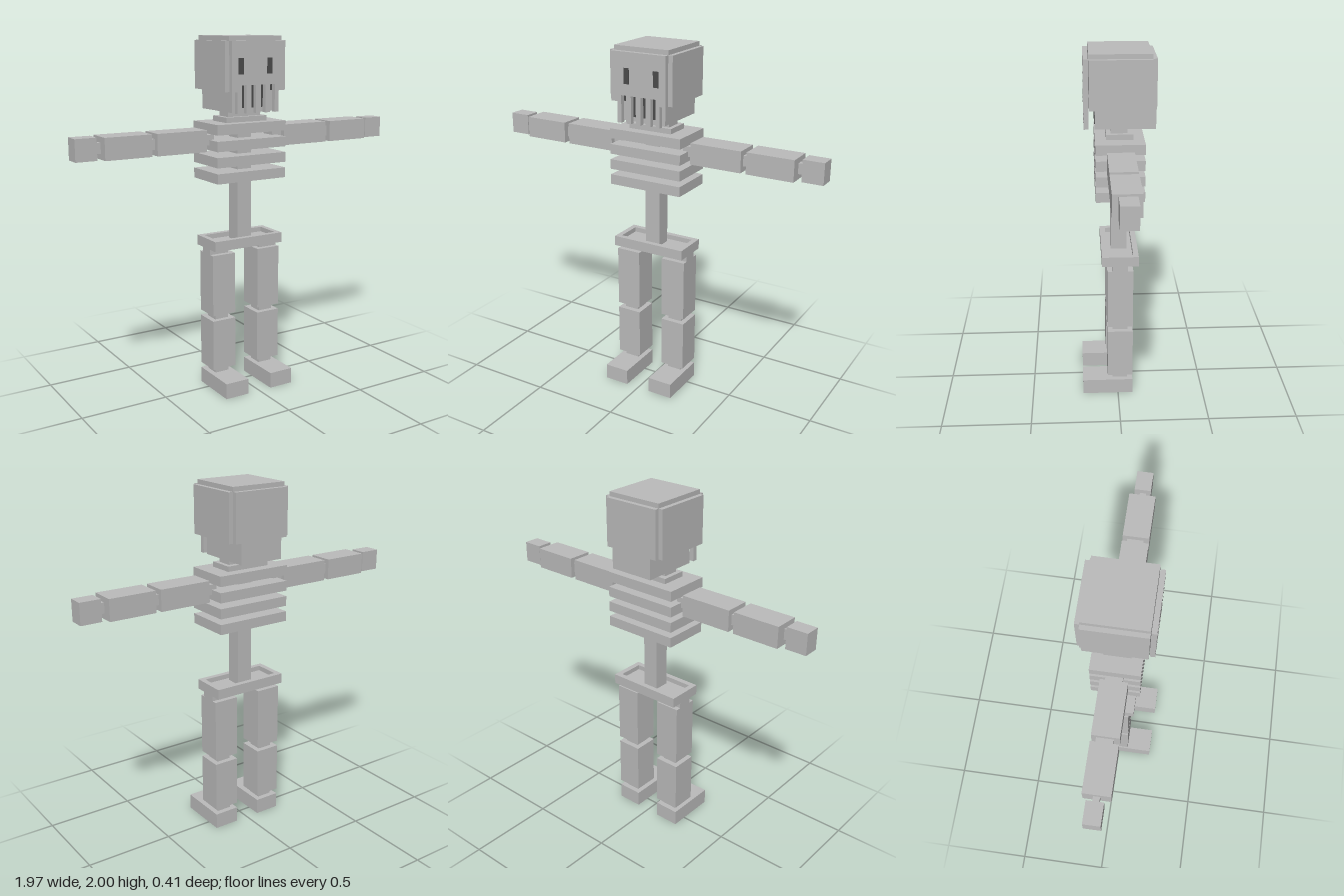
import * as THREE from 'three';

const bone = new THREE.MeshStandardMaterial({ color: 0xbcbcbc });
bone.name = 'bone grey';
const hollow = new THREE.MeshStandardMaterial({ color: 0x4c4c4c });
hollow.name = 'hollow dark grey';

// Box given by its min and max on each axis
function box(parent, name, x0, x1, y0, y1, z0, z1, material = bone) {
  const mesh = new THREE.Mesh(new THREE.BoxGeometry(x1 - x0, y1 - y0, z1 - z0), material);
  mesh.position.set((x0 + x1) / 2, (y0 + y1) / 2, (z0 + z1) / 2);
  mesh.name = name;
  parent.add(mesh);
}

// Same box on both sides of the body
function pair(parent, name, x0, x1, ...rest) {
  box(parent, name + 'Left', x0, x1, ...rest);
  box(parent, name + 'Right', -x1, -x0, ...rest);
}

function rectPath(x0, x1, y0, y1) {
  const path = new THREE.Path();
  path.moveTo(x0, y0).lineTo(x0, y1).lineTo(x1, y1).lineTo(x1, y0).closePath();
  return path;
}

function group(parent, name) {
  const g = new THREE.Group();
  g.name = name;
  parent.add(g);
  return g;
}

function buildHead(model) {
  const head = group(model, 'head');
  // Skull core with raised plates on its sides
  box(head, 'skullCore', -0.165, 0.165, 1.71, 1.975, -0.18, 0.15);
  box(head, 'crownPlate', -0.165, 0.165, 1.975, 2.0, -0.18, 0.15);
  box(head, 'backPlate', -0.165, 0.165, 1.71, 1.975, -0.205, -0.18);
  pair(head, 'templePlate', 0.165, 0.19, 1.71, 1.975, -0.18, 0.15);

  // Face plate: open-ended gaps between the teeth, two eye sockets
  const slots = [0.09, 0.03, -0.03, -0.09];
  const face = new THREE.Shape();
  face.moveTo(-0.13, 1.595).lineTo(-0.13, 1.71).lineTo(-0.165, 1.71).lineTo(-0.165, 1.975);
  face.lineTo(0.165, 1.975).lineTo(0.165, 1.71).lineTo(0.13, 1.71).lineTo(0.13, 1.595);
  for (const x of slots) {
    face.lineTo(x + 0.015, 1.595).lineTo(x + 0.015, 1.745);
    face.lineTo(x - 0.015, 1.745).lineTo(x - 0.015, 1.595);
  }
  face.closePath();
  for (const s of [-1, 1]) face.holes.push(rectPath(s * 0.0925 - 0.0425, s * 0.0925 + 0.0425, 1.77, 1.92));
  const plate = new THREE.Mesh(new THREE.ExtrudeGeometry(face, { depth: 0.027, bevelEnabled: false }), bone);
  plate.position.z = 0.152;
  plate.name = 'facePlate';
  head.add(plate);

  // Dark openings
  pair(head, 'eyeSlit', 0.074, 0.106, 1.8, 1.885, 0.15, 0.153, hollow);
  for (const x of slots) box(head, 'toothGap', x - 0.015, x + 0.015, 1.71, 1.745, 0.149, 0.153, hollow);
  box(head, 'mouthOpening', -0.11, 0.11, 1.62, 1.71, 0.118, 0.122, hollow);

  // Jaw behind the teeth
  box(head, 'jaw', -0.13, 0.13, 1.62, 1.71, -0.205, 0.119);
  box(head, 'jawFloor', -0.13, 0.13, 1.595, 1.62, -0.205, 0.12);
}

function buildTorso(model) {
  const torso = group(model, 'torso');
  box(torso, 'spine', -0.045, 0.045, 0.84, 1.6, -0.055, 0.035);
  box(torso, 'neck', -0.105, 0.105, 1.565, 1.595, -0.055, 0.035);
  box(torso, 'collar', -0.13, 0.13, 1.535, 1.565, -0.085, 0.06);
  for (const y of [1.215, 1.303, 1.391, 1.48]) box(torso, 'rib', -0.22, 0.22, y, y + 0.056, -0.145, 0.12);

  // Pelvis tray: floor and raised rim
  const pelvis = group(model, 'pelvis');
  box(pelvis, 'pelvisFloor', -0.19, 0.19, 0.83, 0.86, -0.085, 0.06);
  pair(pelvis, 'pelvisSide', 0.19, 0.22, 0.83, 0.887, -0.115, 0.09);
  box(pelvis, 'pelvisFront', -0.19, 0.19, 0.83, 0.887, 0.06, 0.09);
  box(pelvis, 'pelvisBack', -0.19, 0.19, 0.83, 0.887, -0.115, -0.085);
}

function buildArms(model) {
  const arms = group(model, 'arms');
  pair(arms, 'shoulderJoint', 0.19, 0.25, 1.418, 1.475, -0.06, 0.03);
  pair(arms, 'upperArm', 0.25, 0.545, 1.387, 1.505, -0.085, 0.06);
  pair(arms, 'elbowJoint', 0.545, 0.575, 1.418, 1.475, -0.06, 0.03);
  pair(arms, 'forearm', 0.575, 0.838, 1.387, 1.505, -0.085, 0.06);
  pair(arms, 'wristJoint', 0.838, 0.868, 1.418, 1.475, -0.03, 0.005);
  pair(arms, 'hand', 0.868, 0.985, 1.387, 1.505, -0.06, 0.03);
}

function buildLegs(model) {
  const legs = group(model, 'legs');
  pair(legs, 'hipJoint', 0.105, 0.22, 0.8, 0.83, -0.055, 0.03);
  pair(legs, 'thigh', 0.075, 0.22, 0.447, 0.8, -0.085, 0.06);
  pair(legs, 'kneeJoint', 0.105, 0.19, 0.415, 0.447, -0.055, 0.03);
  pair(legs, 'shin', 0.075, 0.22, 0.122, 0.415, -0.085, 0.06);
  pair(legs, 'ankleJoint', 0.105, 0.19, 0.09, 0.122, -0.055, 0.03);
  pair(legs, 'foot', 0.075, 0.22, 0, 0.09, -0.085, 0.205);
}

export function createModel() {
  const model = new THREE.Group();
  model.name = 'skeleton';
  buildHead(model);
  buildTorso(model);
  buildArms(model);
  buildLegs(model);
  return model;
}
